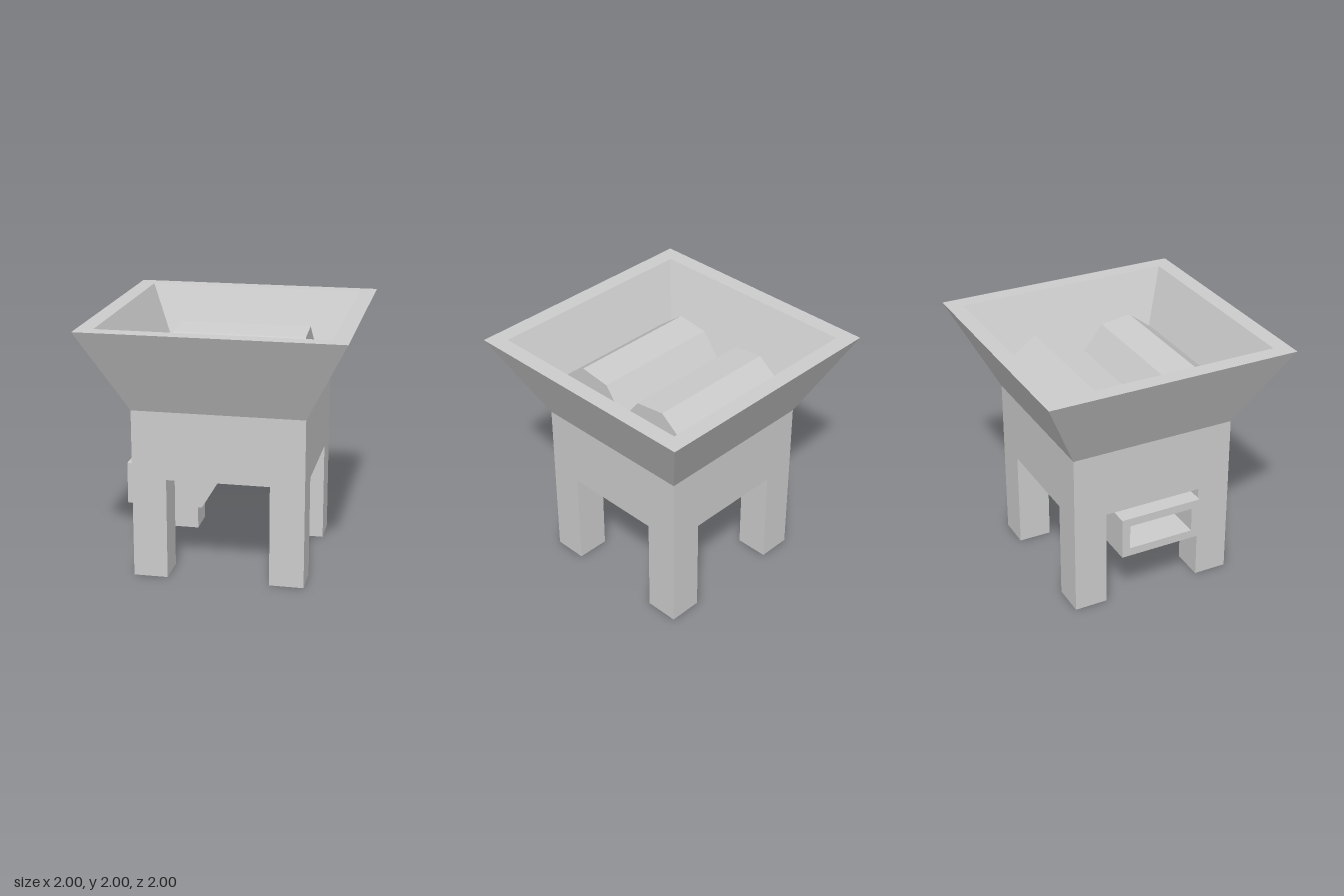
import * as THREE from 'three';

const material = new THREE.MeshStandardMaterial({ color: 0xcccccc, flatShading: true });

function add(parent, name, geometry, x = 0, y = 0, z = 0) {
  const mesh = new THREE.Mesh(geometry, material);
  mesh.name = name;
  mesh.position.set(x, y, z);
  parent.add(mesh);
  return mesh;
}

// Extrude an x-y outline along z, centred on z = 0
function slab(points, depth) {
  const shape = new THREE.Shape(points.map(([x, y]) => new THREE.Vector2(x, y)));
  return new THREE.ExtrudeGeometry(shape, { depth, bevelEnabled: false }).translate(0, 0, -depth / 2);
}

export function createModel() {
  const model = new THREE.Group();
  model.name = 'shredder';

  // Square body and flared hopper: one four-sided hollow profile (half width, height)
  const profile = [
    [0, 0.8], [0.667, 0.8], [0.667, 1.337], [1, 2],
    [0.873, 2], [0.565, 1.337], [0.565, 0.9], [0, 0.9],
  ].map(([w, y]) => new THREE.Vector2(w * Math.SQRT2, y));
  add(model, 'hopperBody', new THREE.LatheGeometry(profile, 4).rotateY(Math.PI / 4));

  // Four square legs
  for (const sx of [-1, 1]) {
    for (const sz of [-1, 1]) {
      add(model, 'leg', new THREE.BoxGeometry(0.267, 0.8, 0.267), sx * 0.5335, 0.4, sz * 0.5335);
    }
  }

  // Two octagonal rollers, turned as mirror images
  for (const [side, turn] of [[-1, 15], [1, 30]]) {
    const geometry = new THREE.CylinderGeometry(1 / 3, 1 / 3, 1.066, 8, 1, false, THREE.MathUtils.degToRad(turn));
    add(model, 'roller', geometry.rotateZ(Math.PI / 2), 0, 1.47, side / 3);
  }

  // Outlet chute: roof, sloped back and floor in one outline, closed by two side panels
  const chute = new THREE.Group();
  chute.name = 'outletChute';
  model.add(chute);
  const wall = 0.067;
  add(chute, 'chuteShell', slab([
    [-0.8, 0.467], [-0.2, 0.467], [0, 0.8], [-0.8, 0.8],
    [-0.8, 0.733], [-0.118, 0.733], [-0.238, 0.534], [-0.8, 0.534],
  ], 0.667 - 2 * wall));
  for (const s of [-1, 1]) {
    const panel = slab([[-0.8, 0.467], [-0.2, 0.467], [0, 0.8], [-0.8, 0.8]], wall);
    add(chute, 'chuteSide', panel, 0, 0, s * (0.3335 - wall / 2));
  }

  return model;
}
